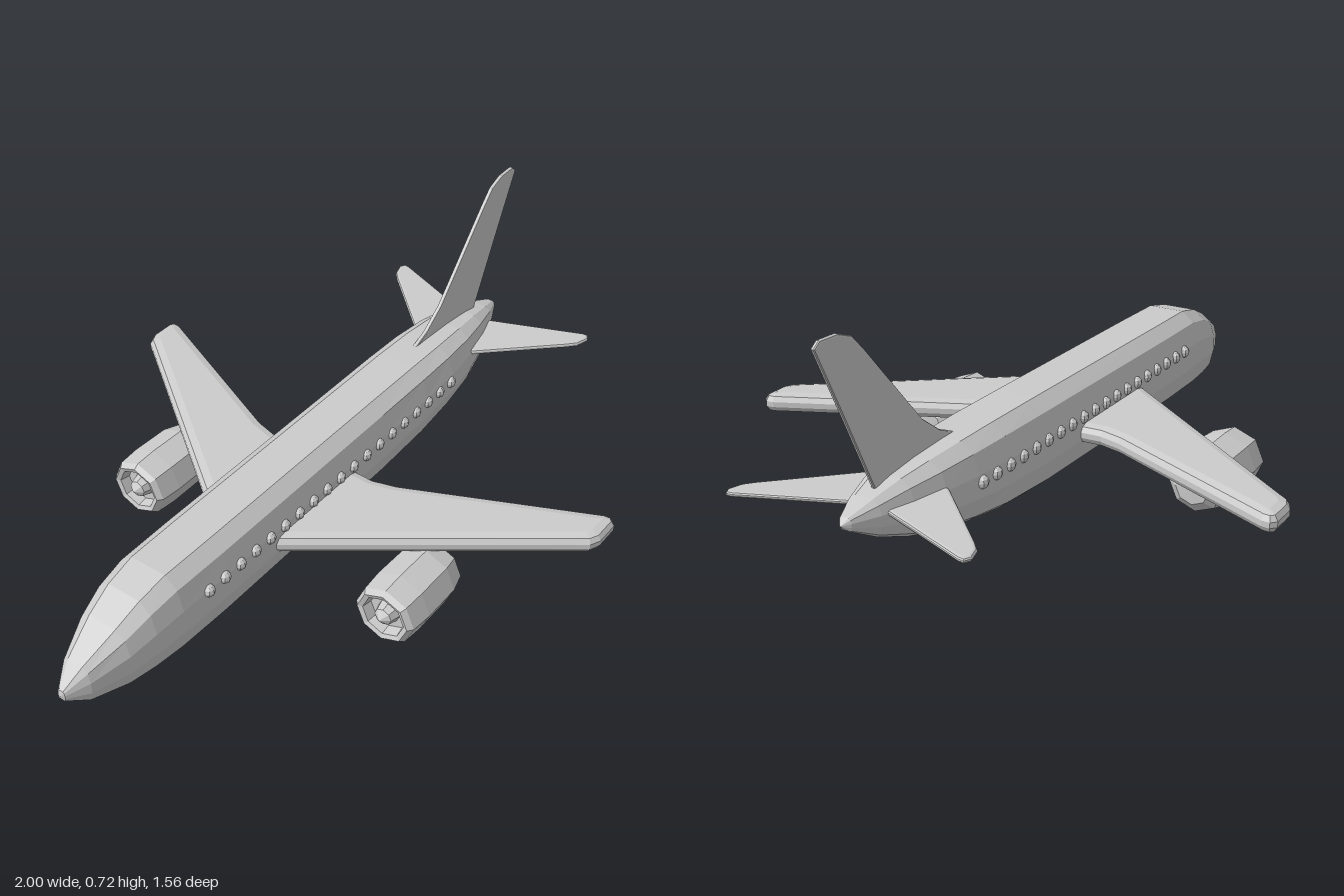
import * as THREE from 'three';

const material = new THREE.MeshStandardMaterial({ color: 0xcccccc, flatShading: true });

function addMesh(parent, name, geometry, x = 0, y = 0, z = 0) {
  const mesh = new THREE.Mesh(geometry, material);
  mesh.name = name;
  mesh.position.set(x, y, z);
  parent.add(mesh);
  return mesh;
}

// Loft of faceted rings along x; each section is [x, bottom, top, halfWidth]
function fuselageGeometry() {
  const half = [[0.5, 1], [0.84, 0.87], [1, 0.62], [1, 0.32], [0.88, 0.08], [0.68, 0]];
  const ring = [...half, ...half.map(([w, h]) => [-w, h]).reverse()];
  const sections = [
    [-1, 0.155, 0.155, 0], [-0.995, 0.14, 0.17, 0.012], [-0.94, 0.11, 0.22, 0.047],
    [-0.84, 0.098, 0.275, 0.085], [-0.76, 0.095, 0.312, 0.101], [-0.67, 0.093, 0.332, 0.11],
    [-0.5, 0.092, 0.334, 0.113], [0.2, 0.1, 0.34, 0.113], [0.4, 0.113, 0.341, 0.113],
    [0.54, 0.133, 0.339, 0.11], [0.66, 0.153, 0.333, 0.099], [0.76, 0.178, 0.322, 0.078],
    [0.85, 0.21, 0.302, 0.05], [0.92, 0.247, 0.28, 0.018], [0.94, 0.265, 0.265, 0],
  ];
  const n = ring.length;
  const positions = [], indices = [];
  sections.forEach(([x, bottom, top, width], i) => {
    ring.forEach(([w, h], j) => {
      positions.push(x, bottom + h * (top - bottom), w * width);
      if (i === sections.length - 1) return;
      const a = i * n + j, b = i * n + (j + 1) % n;
      indices.push(a, b, a + n, b, b + n, a + n);
    });
  });
  const geometry = new THREE.BufferGeometry();
  geometry.setAttribute('position', new THREE.Float32BufferAttribute(positions, 3));
  geometry.setIndex(indices);
  geometry.computeVertexNormals();
  return geometry;
}

// Bevelled plate of given thickness, centred on its own plane
function plate(points, thickness, bevelSize, bevelThickness) {
  const shape = new THREE.Shape(points.map(([x, y]) => new THREE.Vector2(x, y)));
  const depth = thickness - 2 * bevelThickness;
  const geometry = new THREE.ExtrudeGeometry(shape, {
    depth, bevelSize, bevelThickness, bevelOffset: -bevelSize, bevelSegments: 2,
  });
  return geometry.translate(0, 0, -depth / 2);
}

// Horizontal surface, outline given as [x, z], side = 1 or -1
function horizontalPlate(points, side, ...sizes) {
  return plate(points.map(([x, z]) => [x, side * z]), ...sizes).rotateX(Math.PI / 2);
}

// Eight-sided nacelle with closed tail, open intake and spinner; profile is [radius, x]
function engineGeometry() {
  const profile = [
    [0, 0.01], [0.048, 0.008], [0.078, -0.015], [0.093, -0.07], [0.095, -0.19],
    [0.09, -0.255], [0.078, -0.27], [0.064, -0.265], [0.058, -0.235], [0.034, -0.235],
    [0.026, -0.265], [0, -0.283],
  ].map(([r, x]) => new THREE.Vector2(r, -x));
  return new THREE.LatheGeometry(profile, 8).rotateZ(Math.PI / 2).scale(1, 0.94, 1);
}

export function createModel() {
  const model = new THREE.Group();
  model.name = 'airliner';

  addMesh(model, 'fuselage', fuselageGeometry());

  // Vertical fin with a curved leading root
  const fin = [
    [0.46, 0.325], [0.55, 0.363], [0.62, 0.415], [0.83, 0.655], [0.87, 0.697], [0.92, 0.716],
    [0.98, 0.718], [1, 0.703], [0.91, 0.515], [0.84, 0.365], [0.8, 0.28], [0.6, 0.29],
  ];
  addMesh(model, 'fin', plate(fin, 0.013, 0.006, 0.004));

  const wing = [
    [-0.34, 0.06], [-0.31, 0.11], [0.165, 0.74], [0.185, 0.768], [0.215, 0.782], [0.29, 0.782],
    [0.305, 0.768], [0.303, 0.745], [0.068, 0.235], [0.05, 0.17], [0.055, 0.06],
  ];
  const stabilizer = [
    [0.62, 0.03], [0.66, 0.105], [0.86, 0.31], [0.885, 0.332], [0.925, 0.344], [0.942, 0.335],
    [0.94, 0.318], [0.835, 0.06], [0.82, 0.02],
  ];
  const windowGeometry = new THREE.SphereGeometry(0.018, 8, 6);

  for (const side of [1, -1]) {
    const label = side > 0 ? 'left' : 'right';
    addMesh(model, label + 'Wing', horizontalPlate(wing, side, 0.055, 0.03, 0.02), 0, 0.193, 0);
    addMesh(model, label + 'Stabilizer', horizontalPlate(stabilizer, side, 0.014, 0.008, 0.005), 0, 0.267, 0);
    addMesh(model, label + 'Engine', engineGeometry(), 0, 0.09, side * 0.425);

    // Row of round cabin windows
    const windows = new THREE.Group();
    windows.name = label + 'Windows';
    for (let i = 0; i < 19; i++) {
      addMesh(windows, 'window', windowGeometry, -0.575 + i * 0.0612, 0.24, side * 0.109);
    }
    model.add(windows);
  }
  return model;
}
